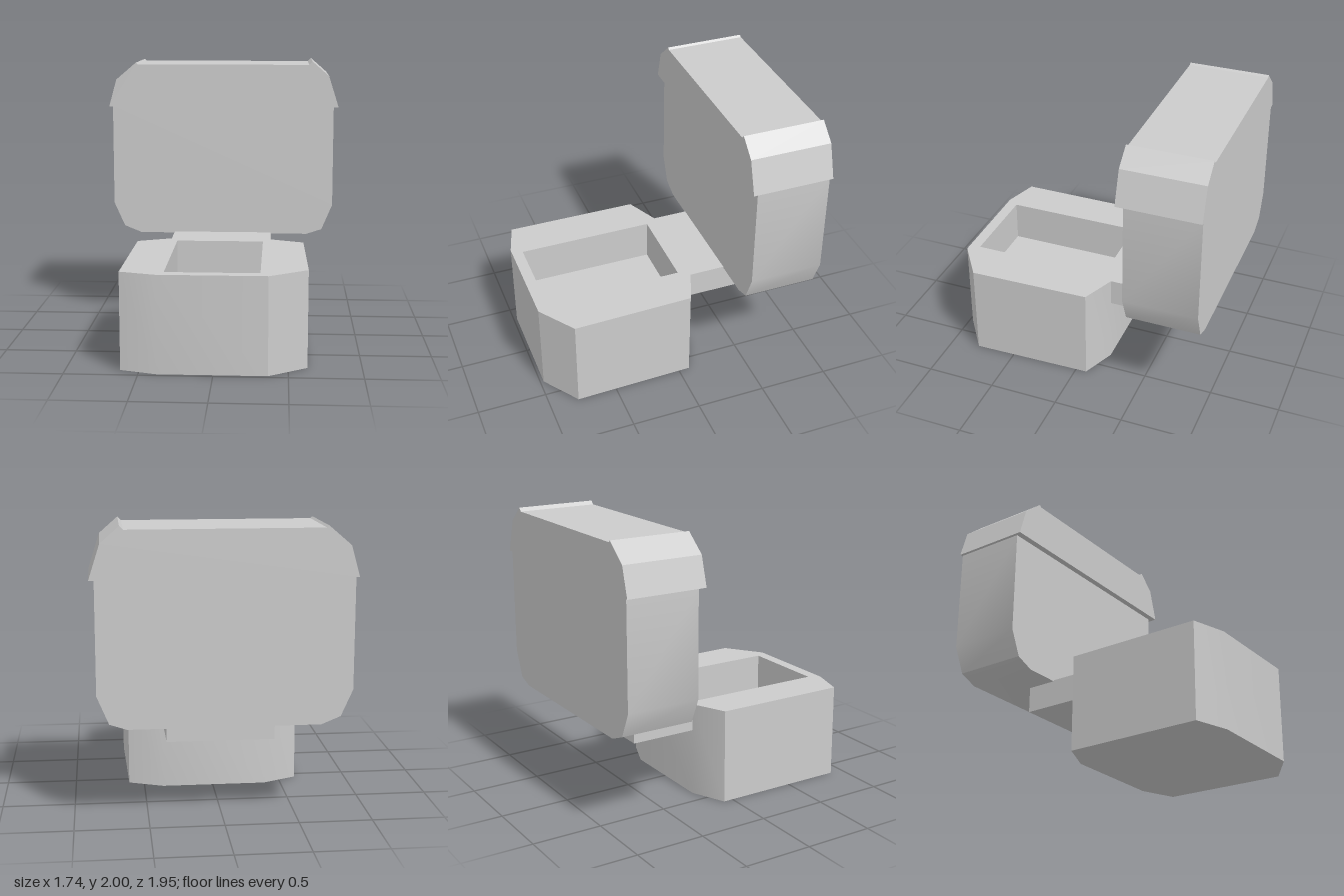
import * as THREE from 'three';
import { toCreasedNormals } from 'three/addons/utils/BufferGeometryUtils.js';

const material = new THREE.MeshStandardMaterial({ color: 0xcccccc });
const toPoints = (list) => list.map(([x, y]) => new THREE.Vector2(x, y));

// Straight extrusion of an outline; shallow corners are shaded smooth
function prism(outline, depth, hole) {
  const shape = new THREE.Shape(toPoints(outline));
  if (hole) shape.holes.push(new THREE.Path(toPoints(hole)));
  const geometry = new THREE.ExtrudeGeometry(shape, { depth, bevelEnabled: false });
  return toCreasedNormals(geometry, 0.5);
}

// Box given by its two extreme corners
function boxBetween([x0, y0, z0], [x1, y1, z1]) {
  return new THREE.BoxGeometry(x1 - x0, y1 - y0, z1 - z0)
    .translate((x0 + x1) / 2, (y0 + y1) / 2, (z0 + z1) / 2);
}

export function createModel() {
  const model = new THREE.Group();
  const add = (name, geometry) => {
    const mesh = new THREE.Mesh(geometry, material);
    mesh.name = name;
    model.add(mesh);
  };

  // Bowl: plan outline in x and z, extruded downwards from the rim
  const rim = 0.68;
  const bowlOutline = [
    [-0.38, -0.18], [0.365, -0.18], [0.61, -0.08], [0.63, 0.79],
    [0.365, 0.975], [-0.38, 0.975], [-0.63, 0.9], [-0.625, -0.07],
  ];
  const opening = [[-0.33, -0.1], [-0.33, 0.895], [0.31, 0.895], [0.31, -0.1]];
  add('bowl', prism(bowlOutline, rim, opening).rotateX(Math.PI / 2).translate(0, rim, 0));

  // Solid bottom of the basin
  add('basinFloor', boxBetween([-0.33, 0, -0.1], [0.31, 0.38, 0.895]));

  // Ledge joining the bowl to the tank
  add('tankLedge', boxBetween([-0.38, 0.485, -0.66], [0.365, rim, -0.18]));

  // Tank: front outline with clipped lower corners
  const tankOutline = [
    [-0.85, 1.655], [-0.85, 0.905], [-0.77, 0.725], [-0.64, 0.672],
    [0.64, 0.672], [0.755, 0.71], [0.835, 0.9], [0.835, 1.655],
  ];
  add('tank', prism(tankOutline, 0.53).translate(0, 0, -0.97));

  // Lid: overhangs the tank at the front and sides, with small raised ends
  const lidOutline = [
    [-0.872, 1.655], [0.87, 1.655], [0.795, 1.89], [0.67, 2],
    [0.645, 1.975], [-0.65, 1.975], [-0.665, 1.988], [-0.815, 1.86],
  ];
  add('tankLid', prism(lidOutline, 0.58).translate(0, 0, -0.975));

  return model;
}
